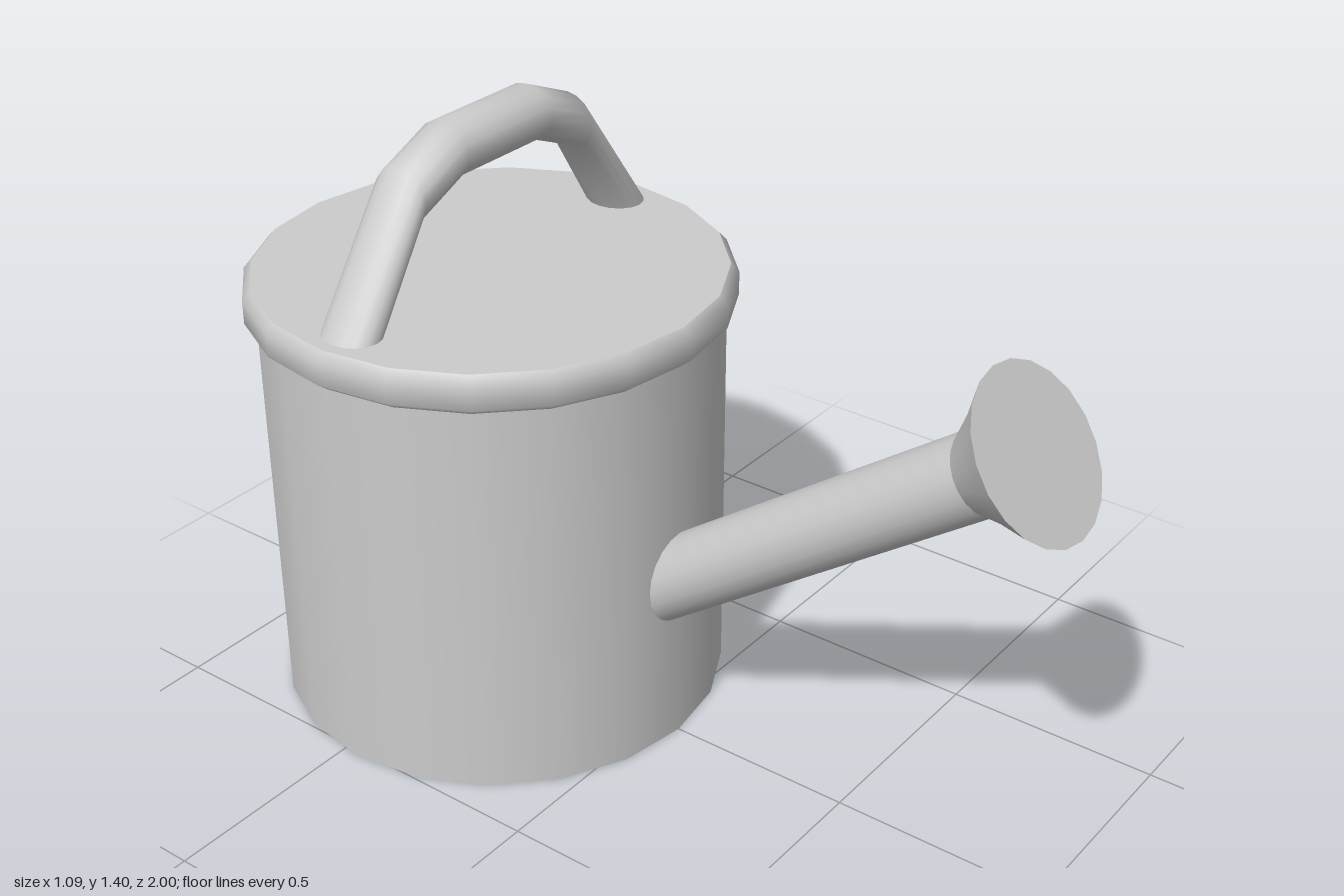
import * as THREE from 'three';

const CENTER_Z = -0.457;

export function createModel() {
  const model = new THREE.Group();
  const material = new THREE.MeshStandardMaterial({ color: 0xcccccc });

  const add = (parent, name, geometry) => {
    const mesh = new THREE.Mesh(geometry, material);
    mesh.name = name;
    parent.add(mesh);
    return mesh;
  };
  const lathe = (points, sides) =>
    new THREE.LatheGeometry(points.map(([r, y]) => new THREE.Vector2(r, y)), sides);

  // Can: straight wall with base, rolled rim and flat lid
  const can = new THREE.Group();
  can.name = 'can';
  can.position.z = CENTER_Z;
  model.add(can);
  add(can, 'body', new THREE.CylinderGeometry(0.517, 0.517, 0.98, 20)).position.y = 0.49;
  add(can, 'rim', lathe([[0.515, 0.94], [0.543, 0.962], [0.543, 1.015], [0.525, 1.035]], 20));
  const lid = add(can, 'lid', new THREE.CircleGeometry(0.525, 20));
  lid.rotation.x = -Math.PI / 2;
  lid.position.y = 1.035;

  // Spout: tilted tube, flared rose and flat face; local origin is the face centre
  const spout = new THREE.Group();
  spout.name = 'spout';
  spout.position.set(0, 1.023, 0.892);
  spout.rotation.x = 0.945;
  model.add(spout);
  add(spout, 'spoutTube', lathe([[0.089, -1.13], [0.089, -0.141]], 20));
  add(spout, 'rose', lathe([[0.089, -0.141], [0.13, -0.075], [0.187, 0]], 20));
  add(spout, 'roseFace', new THREE.CircleGeometry(0.187, 20)).rotation.x = -Math.PI / 2;

  // Handle: loft of rings, each [x, y, outward x, outward y]
  const half = [[0.133, 1.342, 0, 0.063], [0.27, 1.283, 0, 0.063], [0.44, 1.03, 0.06, 0]];
  const rings = [...half.map(([x, y, ox, oy]) => [-x, y, -ox, oy]).reverse(), ...half];
  const sides = 16;
  const positions = [];
  const index = [];
  rings.forEach(([x, y, ox, oy], i) => {
    for (let j = 0; j < sides; j++) {
      const a = (j / sides) * Math.PI * 2;
      const c = Math.cos(a);
      positions.push(x + ox * c, y + oy * c, 0.07 * Math.sin(a));
      if (i === rings.length - 1) continue;
      const p = i * sides + j;
      const q = i * sides + ((j + 1) % sides);
      index.push(p, q, p + sides, q, q + sides, p + sides);
    }
  });
  const loft = new THREE.BufferGeometry();
  loft.setAttribute('position', new THREE.Float32BufferAttribute(positions, 3));
  loft.setIndex(index);
  loft.computeVertexNormals();
  add(model, 'handle', loft).position.z = CENTER_Z + 0.003;

  return model;
}
